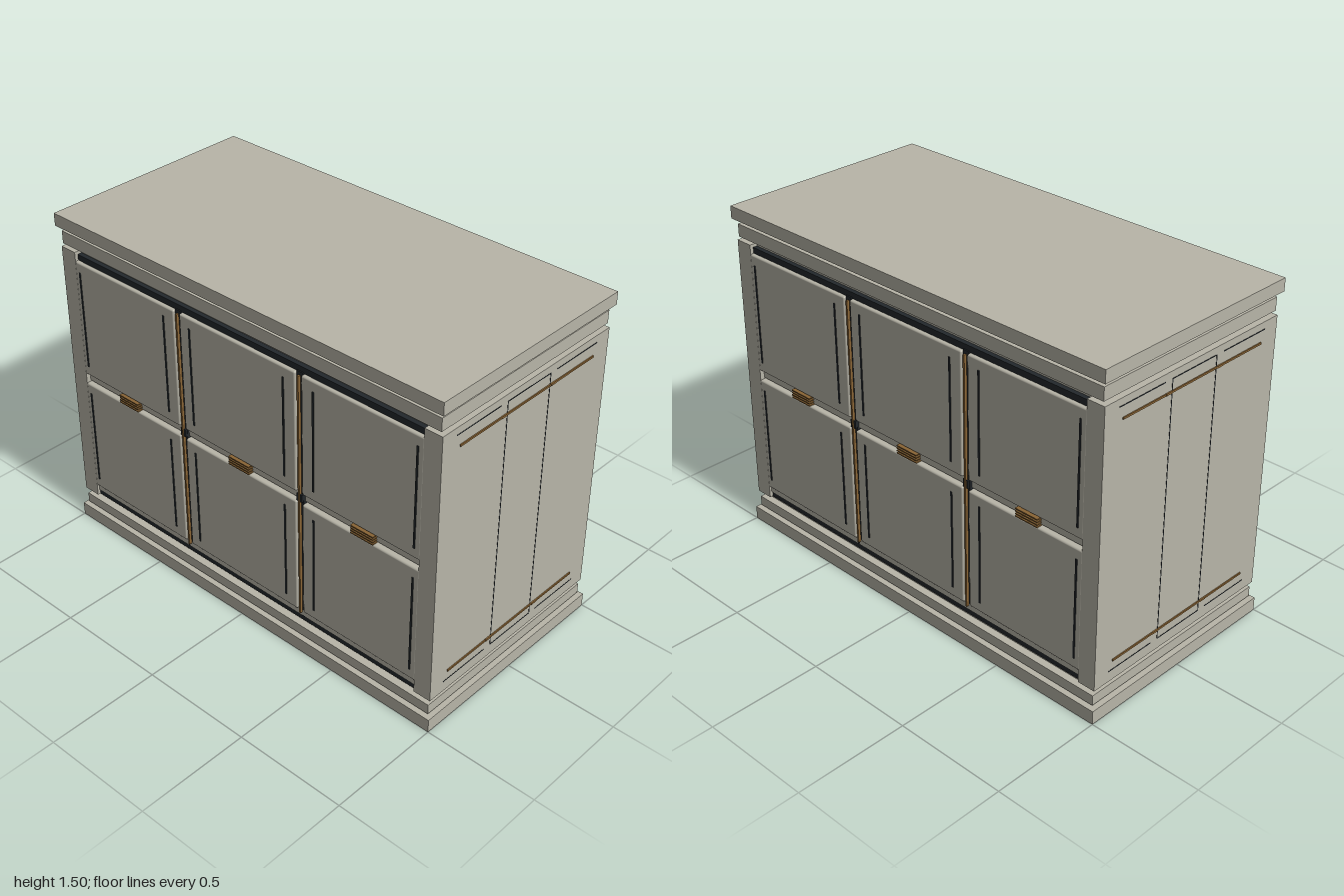
import * as THREE from 'three';
import { RoundedBoxGeometry } from 'three/addons/geometries/RoundedBoxGeometry.js';

const paint = new THREE.MeshStandardMaterial({ color: 0xb8b5a8 });
const dark = new THREE.MeshStandardMaterial({ color: 0x23282c });
const bronze = new THREE.MeshStandardMaterial({ color: 0x8a6535 });

// Box given by its extents on each axis
function box(parent, name, [x0, x1], [y0, y1], [z0, z1], material = paint, radius = 0) {
  const w = x1 - x0, h = y1 - y0, d = z1 - z0;
  const geometry = radius
    ? new RoundedBoxGeometry(w, h, d, 2, radius)
    : new THREE.BoxGeometry(w, h, d);
  const mesh = new THREE.Mesh(geometry, material);
  mesh.name = name;
  mesh.position.set((x0 + x1) / 2, (y0 + y1) / 2, (z0 + z1) / 2);
  parent.add(mesh);
  return mesh;
}

// Doors, tracks, dividers and handles of one long face
function createFace() {
  const face = new THREE.Group();
  const bays = [[-0.915, -0.335], [-0.305, 0.305], [0.335, 0.915]];
  const grooves = [[-0.888, -0.395], [-0.25, 0.245], [0.395, 0.885]];
  const rows = [[0.195, 0.73], [0.775, 1.31]];
  bays.forEach((bay, i) => {
    rows.forEach((row) => {
      box(face, 'door', bay, row, [0.43, 0.485], paint, 0.008);
      for (const x of grooves[i]) {
        box(face, 'doorInlay', [x - 0.004, x + 0.004], [row[0] + 0.045, row[1] - 0.045], [0.47, 0.488], dark);
      }
    });
    // Ribbed handle on the middle rail
    const cx = (i - 1) * 0.64;
    for (let r = 0; r < 4; r++) {
      const y = 0.733 + r * 0.011;
      box(face, 'handleRib', [cx - 0.055, cx + 0.055], [y - 0.0025, y + 0.0025], [0.455, 0.49], bronze);
    }
  });
  // Rails set back between the doors
  box(face, 'middleRail', [-0.91, 0.91], [0.735, 0.77], [0.44, 0.465]);
  box(face, 'bottomRail', [-0.91, 0.91], [0.165, 0.195], [0.44, 0.475]);
  // Dark tracks
  box(face, 'bottomTrack', [-0.91, 0.91], [0.14, 0.165], [0.44, 0.47], dark);
  box(face, 'topTrack', [-0.91, 0.91], [1.31, 1.336], [0.44, 0.47], dark);
  // Vertical dividers with a metal strip
  for (const x of [-0.32, 0.32]) {
    box(face, 'divider', [x - 0.0152, x + 0.0152], [0.165, 1.315], [0.44, 0.475], dark);
    box(face, 'dividerStrip', [x - 0.004, x + 0.004], [0.185, 1.3], [0.47, 0.487], bronze);
    box(face, 'dividerClasp', [x - 0.014, x + 0.014], [0.735, 0.77], [0.46, 0.483], dark);
  }
  return face;
}

// Panel lines and metal rods of one end
function createEnd() {
  const end = new THREE.Group();
  const depth = [0.98, 0.991];
  for (const z of [-0.125, 0.125]) {
    box(end, 'panelLineUpright', depth, [0.19, 1.318], [z - 0.002, z + 0.002], dark);
  }
  for (const y of [0.19, 1.318]) {
    for (const [a, b] of [[-0.41, -0.165], [-0.125, 0.125], [0.165, 0.41]]) {
      box(end, 'panelLine', depth, [y - 0.002, y + 0.002], [a, b], dark);
    }
  }
  for (const y of [0.235, 1.268]) {
    box(end, 'metalRod', [0.98, 0.995], [y - 0.004, y + 0.004], [-0.39, 0.39], bronze);
    for (const z of [-0.145, 0.145]) {
      box(end, 'rodClip', [0.98, 0.996], [y - 0.0045, y + 0.0045], [z - 0.016, z + 0.016], bronze);
    }
  }
  return end;
}

export function createModel() {
  const model = new THREE.Group();
  model.name = 'cabinet';

  // Carcass and the ends that wrap round to the corners
  box(model, 'carcass', [-0.96, 0.96], [0.03, 1.47], [-0.45, 0.45]);
  box(model, 'leftEnd', [0.91, 0.99], [0.142, 1.35], [-0.485, 0.485]);
  box(model, 'rightEnd', [-0.99, -0.91], [0.142, 1.35], [-0.485, 0.485]);

  // Stepped base and crown
  box(model, 'baseSlab', [-1, 1], [0, 0.06], [-0.5, 0.5]);
  box(model, 'baseBand', [-0.982, 0.982], [0.07, 0.115], [-0.483, 0.483]);
  box(model, 'crownBand', [-0.982, 0.982], [1.366, 1.422], [-0.483, 0.483]);
  box(model, 'topSlab', [-1, 1], [1.445, 1.5], [-0.5, 0.5]);

  // Matching front and back, left and right
  ['front', 'back'].forEach((name, i) => {
    const face = createFace();
    face.name = name;
    face.rotation.y = i * Math.PI;
    model.add(face);
  });
  ['leftEndTrim', 'rightEndTrim'].forEach((name, i) => {
    const end = createEnd();
    end.name = name;
    end.rotation.y = i * Math.PI;
    model.add(end);
  });
  return model;
}
